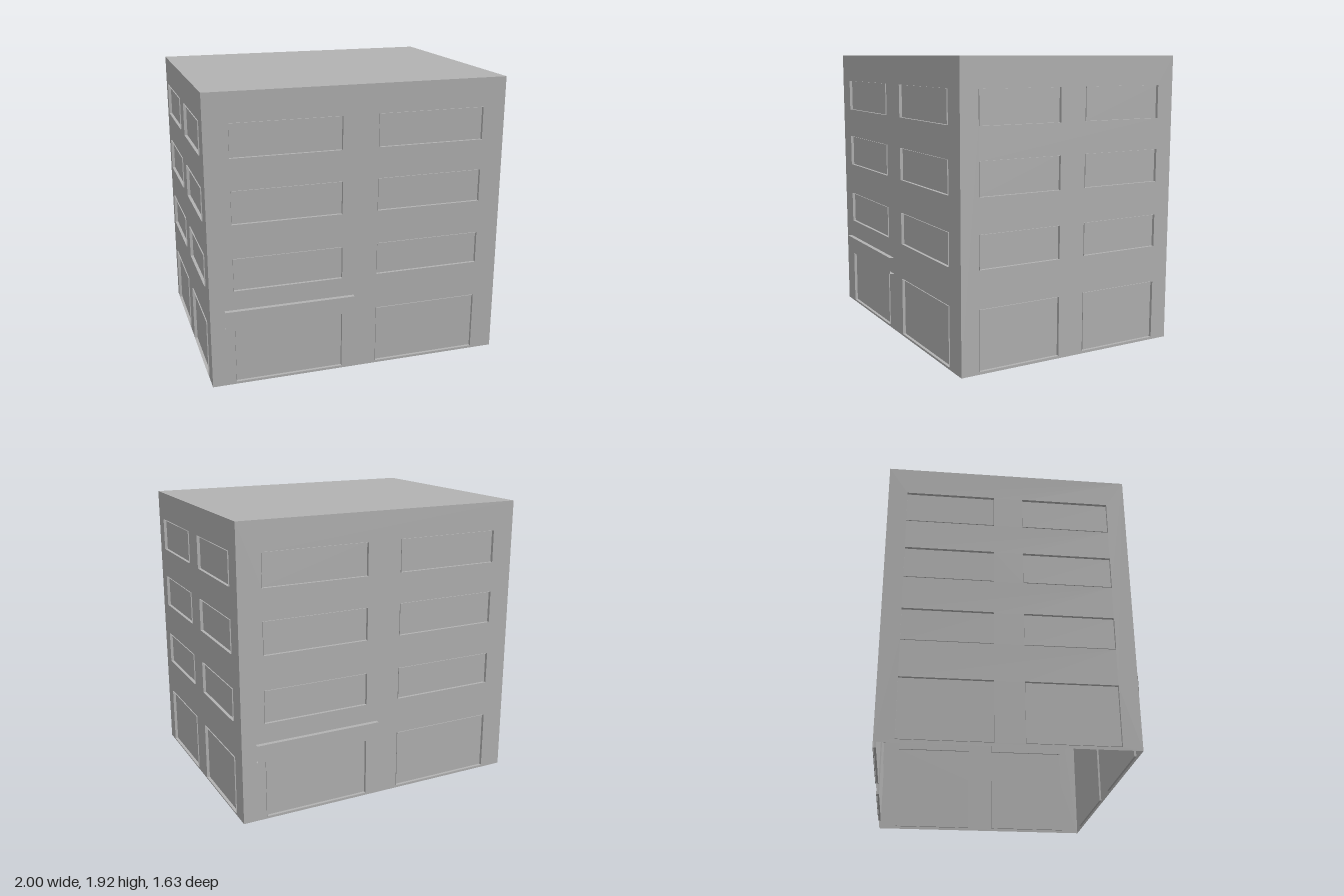
import * as THREE from 'three';

const HALF_X = 0.993, HALF_Z = 0.785, HEIGHT = 1.92;
const RIM = 0.007, RECESS = 0.013;
const ROWS = [[0.02, 0.41], [0.655, 0.87], [1.095, 1.31], [1.515, 1.73]];

export function createModel() {
  const grey = new THREE.MeshStandardMaterial({ color: 0xb2b2b2, side: THREE.DoubleSide });
  grey.name = 'plain grey';

  const add = (parent, geometry, name) => {
    const mesh = new THREE.Mesh(geometry, grey);
    mesh.name = name;
    parent.add(mesh);
    return mesh;
  };
  const plate = (parent, w, h, name, pos, rot = [0, 0, 0]) => {
    const mesh = add(parent, new THREE.PlaneGeometry(w, h), name);
    mesh.position.set(...pos);
    mesh.rotation.set(...rot);
    return mesh;
  };

  // Sunken window: a pane behind the wall and four thin reveals that end just outside it
  function makeWindow(x0, x1, y0, y1) {
    const g = new THREE.Group();
    g.name = 'window';
    const w = x1 - x0, h = y1 - y0, cx = (x0 + x1) / 2, cy = (y0 + y1) / 2;
    const depth = RIM + RECESS, cz = (RIM - RECESS) / 2;
    plate(g, w, h, 'windowPane', [cx, cy, -RECESS]);
    for (const s of [-1, 1]) {
      plate(g, depth, h, 'windowSideReveal', [cx + s * w / 2, cy, cz], [0, Math.PI / 2, 0]);
      plate(g, w, depth, 'windowCrossReveal', [cx, cy + s * h / 2, cz], [Math.PI / 2, 0, 0]);
    }
    return g;
  }

  // Wall facing +z with two columns of window openings
  function makeWall(name, half, inner, outer) {
    const g = new THREE.Group();
    g.name = name;
    const shape = new THREE.Shape();
    shape.moveTo(-half, 0).lineTo(half, 0).lineTo(half, HEIGHT).lineTo(-half, HEIGHT).closePath();
    for (const [y0, y1] of ROWS) {
      for (const [x0, x1] of [[-outer, -inner], [inner, outer]]) {
        const hole = new THREE.Path();
        hole.moveTo(x0, y0).lineTo(x0, y1).lineTo(x1, y1).lineTo(x1, y0).closePath();
        shape.holes.push(hole);
        g.add(makeWindow(x0, x1, y0, y1));
      }
    }
    add(g, new THREE.ShapeGeometry(shape), name + 'Surface');
    return g;
  }

  // Open-ended sign board above one ground-floor opening
  function makeCanopy() {
    const g = new THREE.Group();
    g.name = 'canopy';
    const x0 = -0.9, x1 = -0.04, y0 = 0.41, y1 = 0.525, d = 0.03;
    const cx = (x0 + x1) / 2, w = x1 - x0;
    plate(g, w, y1 - y0, 'canopyFront', [cx, (y0 + y1) / 2, d]);
    plate(g, w, d, 'canopyTop', [cx, y1, d / 2], [-Math.PI / 2, 0, 0]);
    plate(g, w, d, 'canopyUnderside', [cx, y0, d / 2], [Math.PI / 2, 0, 0]);
    return g;
  }

  const building = new THREE.Group();
  building.name = 'building';

  // Each half turn repeats one long wall with its canopy and one side wall
  ['front', 'back'].forEach((label, i) => {
    const half = new THREE.Group();
    half.name = label + 'Half';
    half.rotation.y = i * Math.PI;

    const long = makeWall(label + 'Wall', HALF_X, 0.12, 0.837);
    long.position.z = HALF_Z;
    long.add(makeCanopy());

    const side = makeWall(i ? 'rightWall' : 'leftWall', HALF_Z, 0.093, 0.662);
    side.rotation.y = Math.PI / 2;
    side.position.x = HALF_X;

    half.add(long, side);
    building.add(half);
  });

  // Flat roof; the underside of the shell stays open
  plate(building, HALF_X * 2, HALF_Z * 2, 'roof', [0, HEIGHT, 0], [-Math.PI / 2, 0, 0]);

  return building;
}
